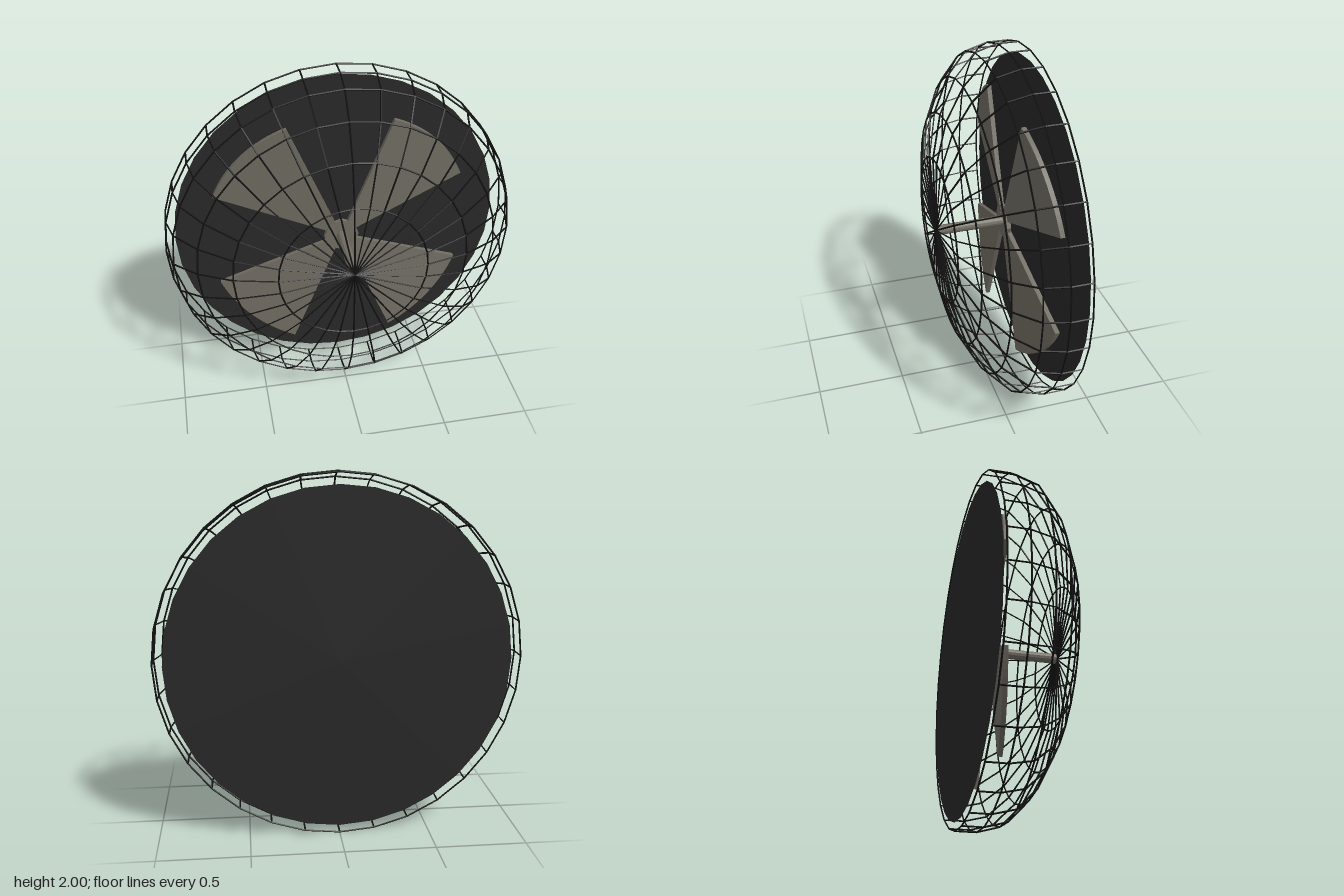
import * as THREE from 'three';
import { mergeGeometries } from 'three/addons/utils/BufferGeometryUtils.js';

const CENTRE_Y = 1.002;
const SIDES = 32;
const WIRE = 0.0048;

// Straight square wire between two points
function wire(a, b) {
  const dir = b.clone().sub(a);
  const g = new THREE.CylinderGeometry(WIRE, WIRE, dir.length(), 4);
  const q = new THREE.Quaternion().setFromUnitVectors(new THREE.Vector3(0, 1, 0), dir.normalize());
  g.applyQuaternion(q);
  const mid = a.clone().add(b).multiplyScalar(0.5);
  return g.translate(mid.x, mid.y, mid.z);
}

// Sector blade in one quadrant, tilted back towards its near-horizontal edge
function blade(turn) {
  const start = turn * Math.PI / 2 + Math.PI / 8;
  const radius = 0.767;
  const shape = new THREE.Shape();
  shape.moveTo(0, 0);
  shape.lineTo(radius * Math.cos(start), radius * Math.sin(start));
  shape.absarc(0, 0, radius, start, start + Math.PI / 4, false);
  shape.lineTo(0, 0);
  const g = new THREE.ExtrudeGeometry(shape, { depth: 0.025, bevelEnabled: false, curveSegments: 8 });
  const p = g.attributes.position;
  const s = Math.sin(Math.PI * 3 / 8), c = Math.cos(Math.PI * 3 / 8);
  for (let i = 0; i < p.count; i++) {
    const off = Math.abs(p.getX(i)) * s - Math.abs(p.getY(i)) * c;
    p.setZ(i, p.getZ(i) - 0.146 - 0.13 * off);
  }
  g.computeVertexNormals();
  return g;
}

export function createModel() {
  const model = new THREE.Group();
  const cageMat = new THREE.MeshStandardMaterial({ name: 'black wire', color: 0x121212, flatShading: true });
  const plateMat = new THREE.MeshStandardMaterial({ name: 'charcoal', color: 0x282828, side: THREE.DoubleSide });
  const fanMat = new THREE.MeshStandardMaterial({ name: 'warm grey', color: 0x716d63, flatShading: true });

  const add = (name, geometry, material, y = CENTRE_Y) => {
    const mesh = new THREE.Mesh(geometry, material);
    mesh.name = name;
    mesh.position.y = y;
    model.add(mesh);
  };

  // Domed cage: [radius, z] of each ring from back to front
  const rings = [[0.993, -0.264], [0.993, -0.148], [0.958, -0.021], [0.834, 0.095], [0.65, 0.19], [0.412, 0.247], [0, 0.262]];
  const point = ([r, z], i) => {
    const a = i / SIDES * Math.PI * 2;
    return new THREE.Vector3(r * Math.cos(a), r * Math.sin(a), z);
  };
  const hoops = [], ribs = [];
  rings.forEach((ring, k) => {
    for (let i = 0; i < SIDES; i++) {
      if (ring[0] > 0) hoops.push(wire(point(ring, i), point(ring, i + 1)));
      if (k > 0) ribs.push(wire(point(rings[k - 1], i), point(ring, i)));
    }
  });
  add('cageHoops', mergeGeometries(hoops), cageMat);
  add('cageRibs', mergeGeometries(ribs), cageMat);

  // Flat back plate
  add('backPlate', new THREE.CircleGeometry(0.94, SIDES).translate(0, 0, -0.269), plateMat, 0.993);

  // Fan
  for (let i = 0; i < 4; i++) add('blade' + (i + 1), blade(i), fanMat);
  add('hub', new THREE.CylinderGeometry(0.1, 0.1, 0.024, 8).rotateX(Math.PI / 2).translate(0, 0, -0.134), fanMat);
  add('axle', new THREE.CylinderGeometry(0.028, 0.028, 0.4, 12).rotateX(Math.PI / 2).translate(0, 0, 0.055), fanMat);

  return model;
}
